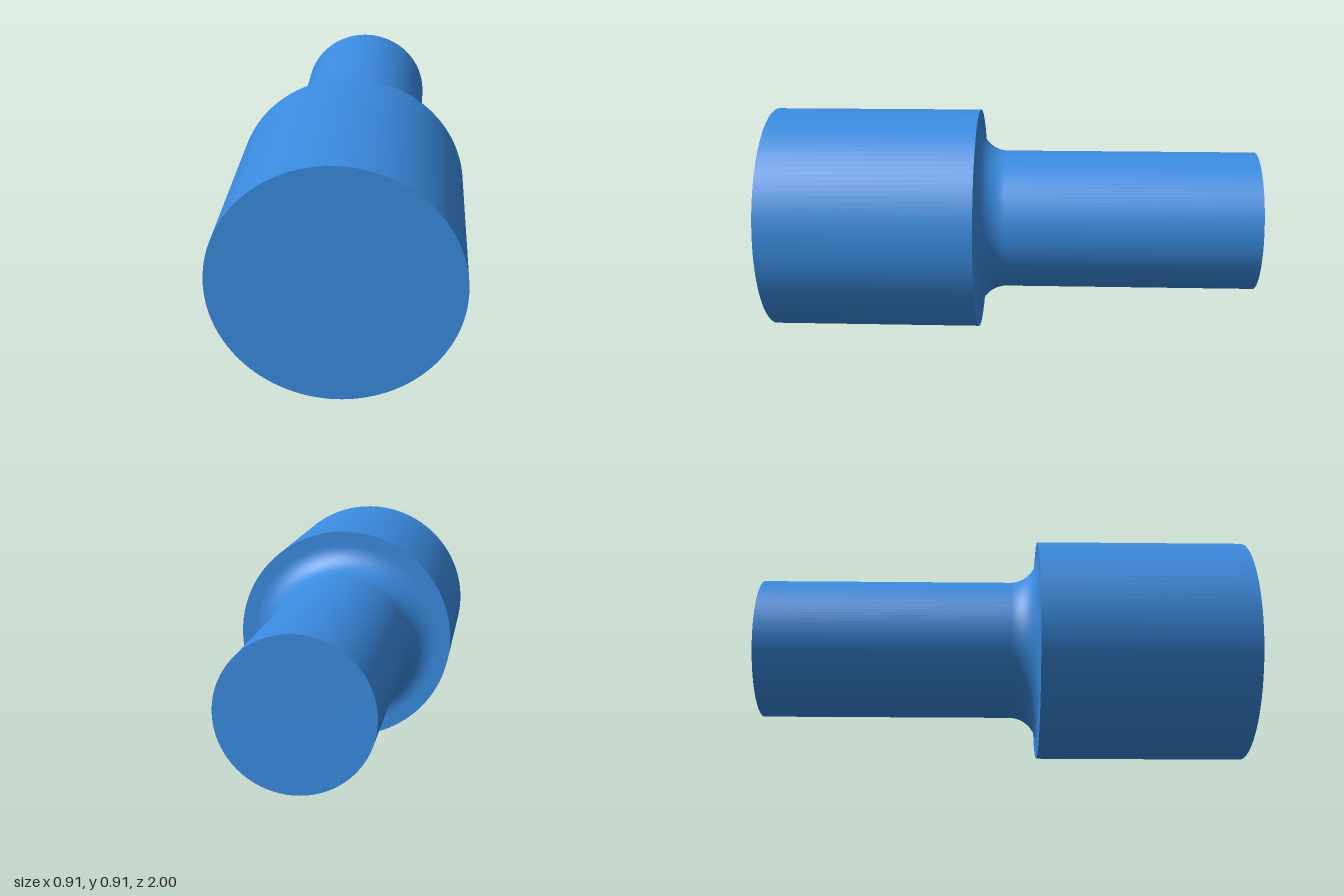
import * as THREE from 'three';

const HEAD_R = 0.457, SHANK_R = 0.286, FILLET_R = 0.114, STEP_Z = 0.143;

export function createModel() {
  const model = new THREE.Group();
  model.name = 'steppedPin';
  const blue = new THREE.MeshStandardMaterial({ color: 0x3a8be0 });
  blue.name = 'blue';

  // Each strip of the profile [radius, z] is turned separately, so edges stay sharp
  function turn(name, profile) {
    const points = profile.map(([r, z]) => new THREE.Vector2(r, z));
    const geometry = new THREE.LatheGeometry(points, 128);
    geometry.rotateX(Math.PI / 2); // lay the turning axis along z
    geometry.translate(0, HEAD_R, 0);
    const mesh = new THREE.Mesh(geometry, blue);
    mesh.name = name;
    model.add(mesh);
  }

  // Concave quarter arc between shank and shoulder
  const filletEnd = HEAD_R - (HEAD_R - SHANK_R - FILLET_R);
  const filletZ = STEP_Z - FILLET_R;
  const fillet = [];
  for (let i = 0; i <= 24; i++) {
    const a = Math.PI - (i / 24) * Math.PI / 2;
    fillet.push([SHANK_R + FILLET_R * (1 + Math.cos(a)), filletZ + FILLET_R * Math.sin(a)]);
  }

  turn('shankEnd', [[0, -1], [SHANK_R, -1]]);
  turn('shank', [[SHANK_R, -1], [SHANK_R, filletZ]]);
  turn('fillet', fillet);
  turn('shoulder', [[filletEnd, STEP_Z], [HEAD_R, STEP_Z]]);
  turn('head', [[HEAD_R, STEP_Z], [HEAD_R, 1]]);
  turn('headFace', [[HEAD_R, 1], [0, 1]]);

  return model;
}
